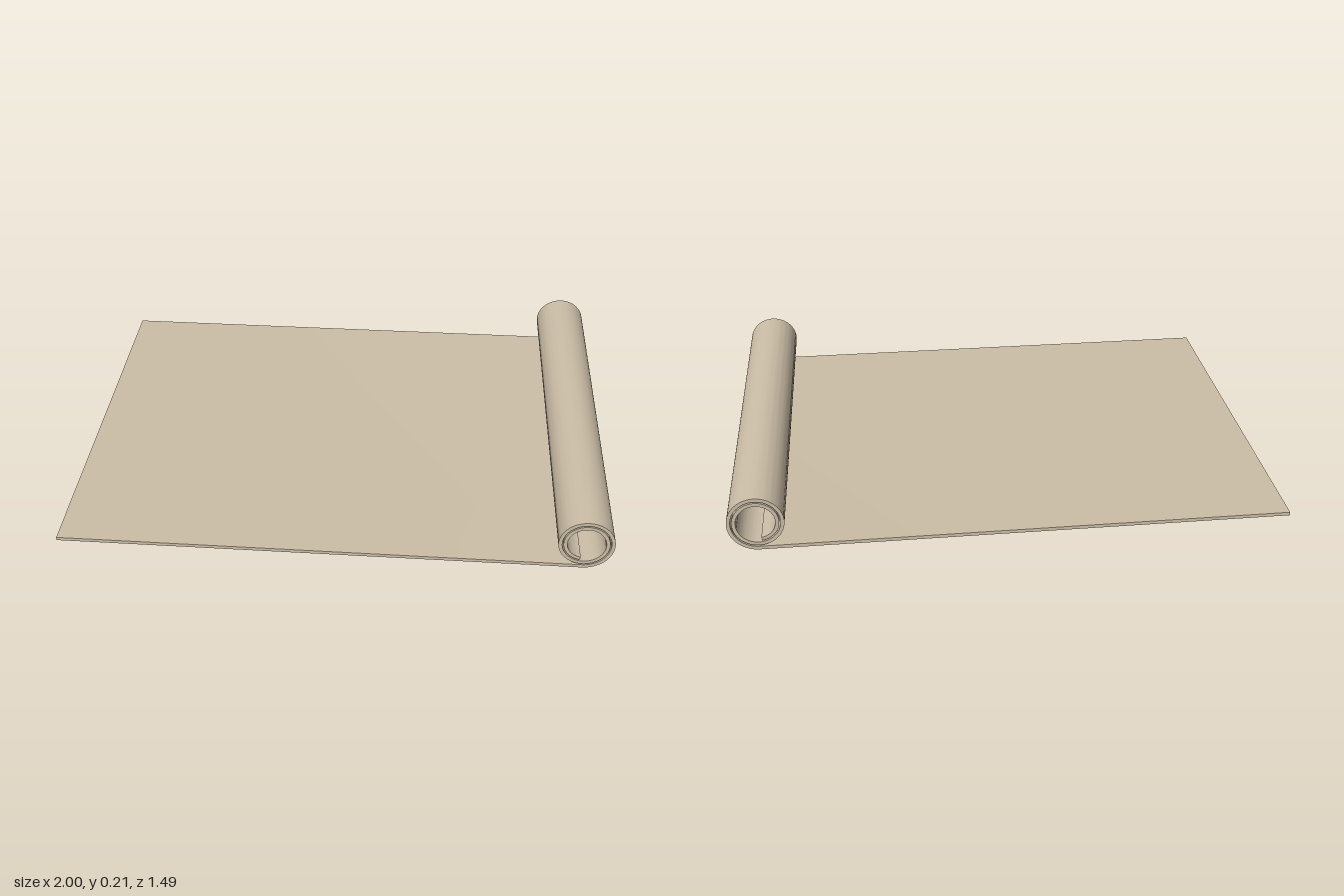
import * as THREE from 'three';
import { toCreasedNormals } from 'three/addons/utils/BufferGeometryUtils.js';

const WIDTH = 1.49;       // along z
const THICKNESS = 0.013;
const ROLL_X = 0.897;     // centre of the rolled end
const START_RADIUS = 0.108;
const TURNS = 1.97;
const PITCH = 0.018;      // radius lost per turn

// Point on the spiral: starts at the bottom and winds up the +x side
function spiralPoint(turn, inset) {
  const angle = -Math.PI / 2 + turn * Math.PI * 2;
  const r = START_RADIUS - PITCH * turn - inset;
  return new THREE.Vector2(ROLL_X + r * Math.cos(angle), START_RADIUS + r * Math.sin(angle));
}

export function createModel() {
  const group = new THREE.Group();
  group.name = 'rolledMat';

  const fabric = new THREE.MeshStandardMaterial({ color: 0xcdbfa8 });
  fabric.name = 'beige fabric';

  // Side profile: flat sheet running into a spiral of constant thickness
  const outer = [new THREE.Vector2(-1, 0)];
  const inner = [new THREE.Vector2(-1, THICKNESS)];
  const steps = 160;
  for (let i = 0; i <= steps; i++) {
    const turn = (i / steps) * TURNS;
    outer.push(spiralPoint(turn, 0));
    inner.push(spiralPoint(turn, THICKNESS));
  }
  const profile = new THREE.Shape([...outer, ...inner.reverse()]);

  // Sweep the profile across the width, smooth on the roll and sharp at the edges
  const sheet = new THREE.ExtrudeGeometry(profile, { depth: WIDTH, bevelEnabled: false });
  sheet.translate(0, 0, -WIDTH / 2);
  const mat = new THREE.Mesh(toCreasedNormals(sheet, Math.PI / 6), fabric);
  mat.name = 'mat';
  group.add(mat);

  return group;
}
